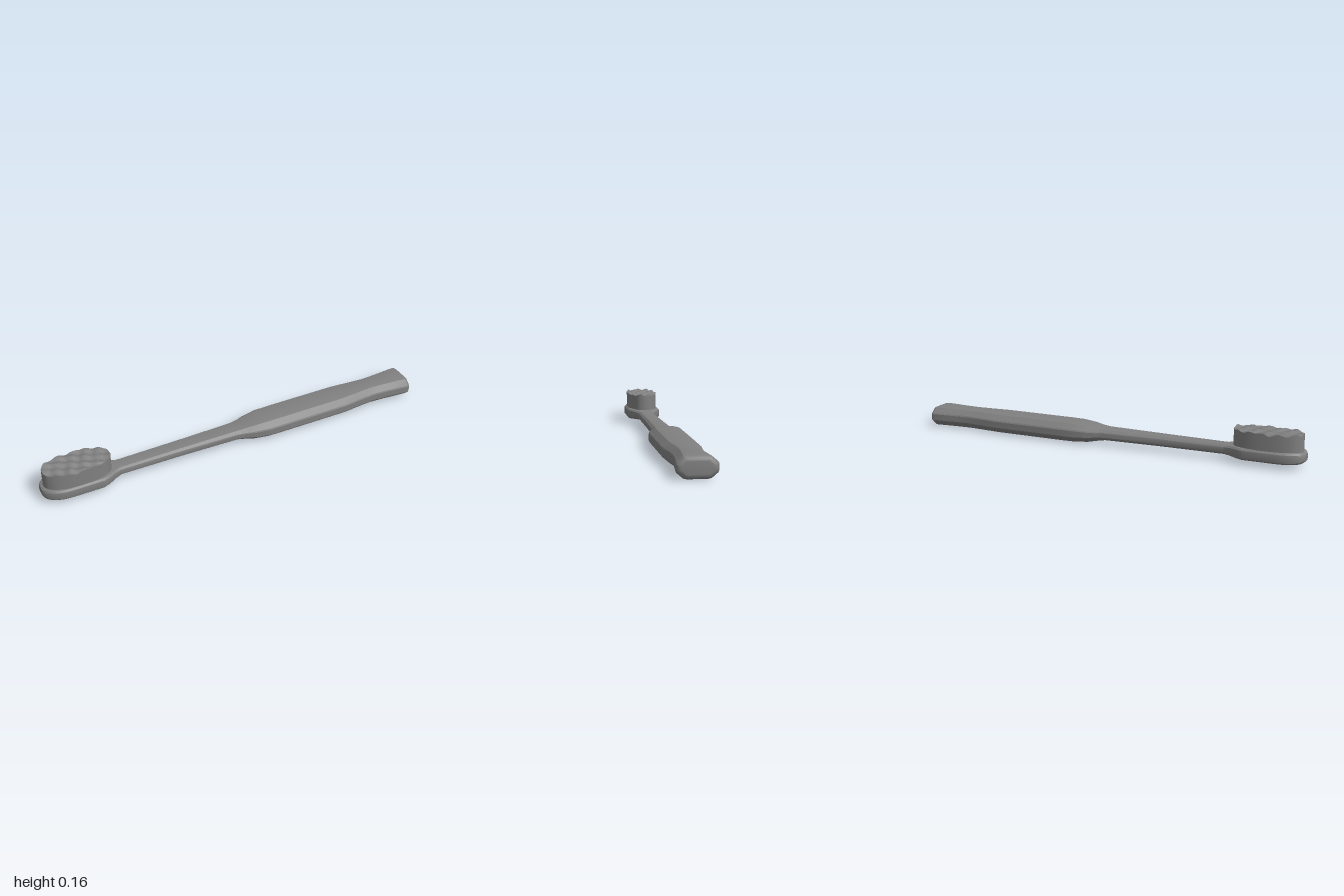
import * as THREE from 'three';
import { toCreasedNormals } from 'three/addons/utils/BufferGeometryUtils.js';

const material = new THREE.MeshStandardMaterial({ color: 0x808080 });

// Skin a list of equal-length rings (counter-clockwise about the travel axis) and cap both ends.
function loft(rings, crease) {
  const n = rings[0].length, pos = [], index = [];
  rings.forEach(r => r.forEach(p => pos.push(p.x, p.y, p.z)));
  for (let k = 0; k < rings.length - 1; k++) {
    for (let i = 0; i < n; i++) {
      const a = k * n + i, b = k * n + (i + 1) % n;
      index.push(a, b, a + n, b, b + n, a + n);
    }
  }
  [rings[0], rings[rings.length - 1]].forEach((r, end) => {
    const c = r.reduce((s, p) => s.add(p), new THREE.Vector3()).divideScalar(n);
    const id = pos.length / 3, base = end ? (rings.length - 1) * n : 0;
    pos.push(c.x, c.y, c.z);
    for (let i = 0; i < n; i++) {
      const a = base + i, b = base + (i + 1) % n;
      end ? index.push(id, a, b) : index.push(id, b, a);
    }
  });
  const g = new THREE.BufferGeometry();
  g.setAttribute('position', new THREE.Float32BufferAttribute(pos, 3));
  g.setIndex(index);
  return toCreasedNormals(g, crease);
}

// Chamfered rectangle with softened corners: half width w, from y0 to y1, chamfer cw by ch.
function section([x, w, y0, y1, cw, ch]) {
  const f = w - cw;
  const corners = [
    [y1, f], [y1 - ch, w], [y0 + ch, w], [y0, f],
    [y0, -f], [y0 + ch, -w], [y1 - ch, -w], [y1, -f],
  ].map(([y, z]) => new THREE.Vector3(x, y, z));
  const ring = [];
  corners.forEach((p, i) => {
    ring.push(p.clone().lerp(corners[(i + 7) % 8], 0.1), p.clone().lerp(corners[(i + 1) % 8], 0.1));
  });
  return ring;
}

// Stations along the brush: x, half width, bottom, top, chamfer width, chamfer height
const HEAD_TIP = Array.from({ length: 9 }, (_, i) => {
  const a = (1 - i / 9) * 1.3, lift = 0.011 * (1 - i / 9) ** 5;
  return [-0.87 - 0.135 * Math.sin(a), 0.089 * Math.cos(a) ** 0.85, 0.024 + lift, 0.080 - lift, 0.010, 0.010];
});
const HEAD = [
  [-0.86, 0.089, 0.024, 0.080, 0.010, 0.010],
  [-0.72, 0.089, 0.024, 0.080, 0.010, 0.010],
  [-0.69, 0.079, 0.025, 0.079, 0.011, 0.010],
  [-0.65, 0.055, 0.026, 0.076, 0.012, 0.010],
  [-0.615, 0.041, 0.027, 0.073, 0.012, 0.010],
];
const NECK = [
  [-0.3, 0.045, 0.026, 0.076, 0.014, 0.012],
  [0.0, 0.053, 0.023, 0.079, 0.018, 0.015],
];
const HANDLE = [
  [0.04, 0.061, 0.016, 0.083, 0.022, 0.020],
  [0.09, 0.077, 0.006, 0.091, 0.030, 0.026],
  [0.16, 0.089, 0.001, 0.097, 0.035, 0.029],
  [0.22, 0.090, 0.000, 0.098, 0.035, 0.030],
  [0.60, 0.090, 0.000, 0.098, 0.035, 0.030],
  [0.69, 0.080, 0.000, 0.098, 0.033, 0.030],
  [0.78, 0.073, 0.000, 0.098, 0.032, 0.030],
  [0.86, 0.078, 0.000, 0.098, 0.033, 0.030],
];
// Rounded butt of the handle
const HANDLE_END = Array.from({ length: 7 }, (_, i) => {
  const a = (i / 6) * Math.PI / 2, inset = 0.022 * (1 - Math.cos(a));
  return [0.978 + 0.022 * Math.sin(a), 0.090 - inset, inset, 0.098 - inset, 0.035 - inset * 0.4, 0.030 - inset * 0.4];
});

// Oval block of bristles with a rippled top
function bristleGeometry() {
  const n = 64;
  const ripple = (x, z) => 0.157 + 0.004 * Math.sin(x * 95 + z * 40) + 0.004 * Math.sin(x * 50 - z * 120);
  const round = v => Math.sign(v) * Math.abs(v) ** 0.85;
  const oval = (scale, height) => Array.from({ length: n }, (_, i) => {
    const a = (i / n) * Math.PI * 2;
    const x = -0.82 + 0.166 * scale * round(Math.sin(a)), z = 0.079 * scale * round(Math.cos(a));
    return new THREE.Vector3(x, height(x, z), z);
  });
  const rings = [oval(1, () => 0.07)];
  for (let s = 8; s > 0; s--) rings.push(oval(s / 8, ripple));
  return loft(rings, 0.7);
}

export function createModel() {
  const group = new THREE.Group();
  group.name = 'toothbrush';
  const add = (name, geometry) => {
    const mesh = new THREE.Mesh(geometry, material);
    mesh.name = name;
    group.add(mesh);
  };
  add('body', loft([...HEAD_TIP, ...HEAD, ...NECK, ...HANDLE, ...HANDLE_END].map(section), 0.36));
  add('bristles', bristleGeometry());
  return group;
}
